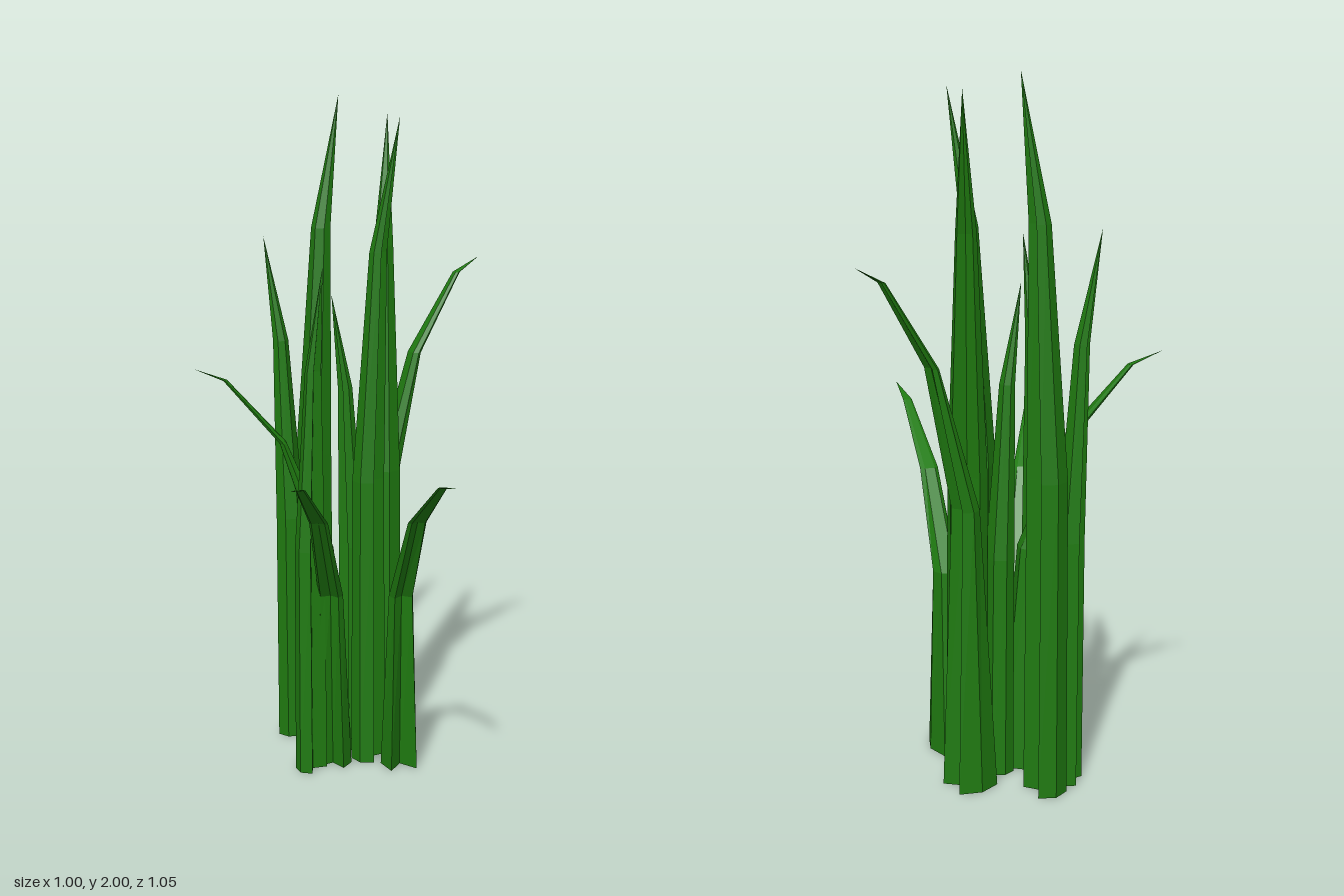
import * as THREE from 'three';

// Grooved blade section: u runs along the lean, v across the blade
const SECTION = [[0.5, -0.36], [0.12, 0], [0.5, 0.36], [0, 0.5], [-0.5, 0.28], [-0.5, -0.28], [0, -0.5]];

// Rings from root to tip: height, lean, width and depth as fractions
const UPRIGHT = [[0, 0, 1, 1], [0.45, 0.03, 0.95, 0.92], [0.8, 0.35, 0.5, 0.5], [1, 1, 0, 0]];
const DROOPING = [[0, 0, 1, 1], [0.54, 0.05, 0.68, 0.45], [0.81, 0.35, 0.5, 0.18], [0.97, 0.77, 0.25, 0.1], [1, 1, 0, 0]];

// Root x, root z, tip x, tip z, height, width, depth
const UPRIGHT_BLADES = [
  [-0.015, -0.47, 0.08, -0.46, 2.0, 0.125, 0.095],
  [-0.105, -0.44, -0.16, -0.5, 1.58, 0.1, 0.075],
  [0.025, -0.28, -0.045, -0.28, 1.42, 0.085, 0.07],
  [0.1, -0.235, 0.165, -0.31, 1.95, 0.12, 0.08],
  [-0.2, -0.145, -0.175, -0.09, 1.53, 0.1, 0.07],
  [-0.005, -0.14, 0.06, -0.055, 1.95, 0.115, 0.08],
];
const DROOPING_BLADES = [
  [-0.065, -0.26, -0.44, -0.41, 1.21, 0.125, 0.12],
  [0.145, -0.33, 0.5, -0.32, 1.5, 0.125, 0.13],
  [-0.115, -0.155, -0.5, 0.33, 1.0, 0.11, 0.1],
  [0.055, -0.055, -0.1, 0.52, 1.0, 0.11, 0.14],
];

function bladeGeometry([x0, z0, x1, z1, height, width, depth], rings) {
  const a = Math.atan2(z1 - z0, x1 - x0), c = Math.cos(a), s = Math.sin(a);
  const n = SECTION.length, pos = [], idx = [];
  for (const [h, lean, w, d] of rings) {
    const cx = x0 + (x1 - x0) * lean, cz = z0 + (z1 - z0) * lean;
    for (const [u, v] of SECTION) {
      const du = u * depth * d, dv = v * width * w;
      pos.push(cx + du * c - dv * s, h * height, cz + du * s + dv * c);
    }
  }
  // Sides, coming to a point in the last ring
  for (let r = 0; r < rings.length - 1; r++) {
    for (let i = 0; i < n; i++) {
      const p = r * n + i, q = r * n + (i + 1) % n;
      idx.push(p, p + n, q);
      if (r < rings.length - 2) idx.push(q, p + n, q + n);
    }
  }
  // Root cap
  const centre = pos.length / 3;
  pos.push(x0 - 0.15 * depth * c, 0, z0 - 0.15 * depth * s);
  for (let i = 0; i < n; i++) idx.push(centre, i, (i + 1) % n);

  const g = new THREE.BufferGeometry();
  g.setAttribute('position', new THREE.Float32BufferAttribute(pos, 3));
  g.setIndex(idx);
  g.computeVertexNormals();
  return g;
}

export function createModel() {
  const group = new THREE.Group();
  group.name = 'grassClump';
  const green = new THREE.MeshStandardMaterial({ color: 0x1f7a10, flatShading: true });
  const plant = (blades, rings, name) => blades.forEach((blade, i) => {
    const mesh = new THREE.Mesh(bladeGeometry(blade, rings), green);
    mesh.name = name + (i + 1);
    group.add(mesh);
  });
  plant(UPRIGHT_BLADES, UPRIGHT, 'uprightBlade');
  plant(DROOPING_BLADES, DROOPING, 'droopingBlade');
  return group;
}
